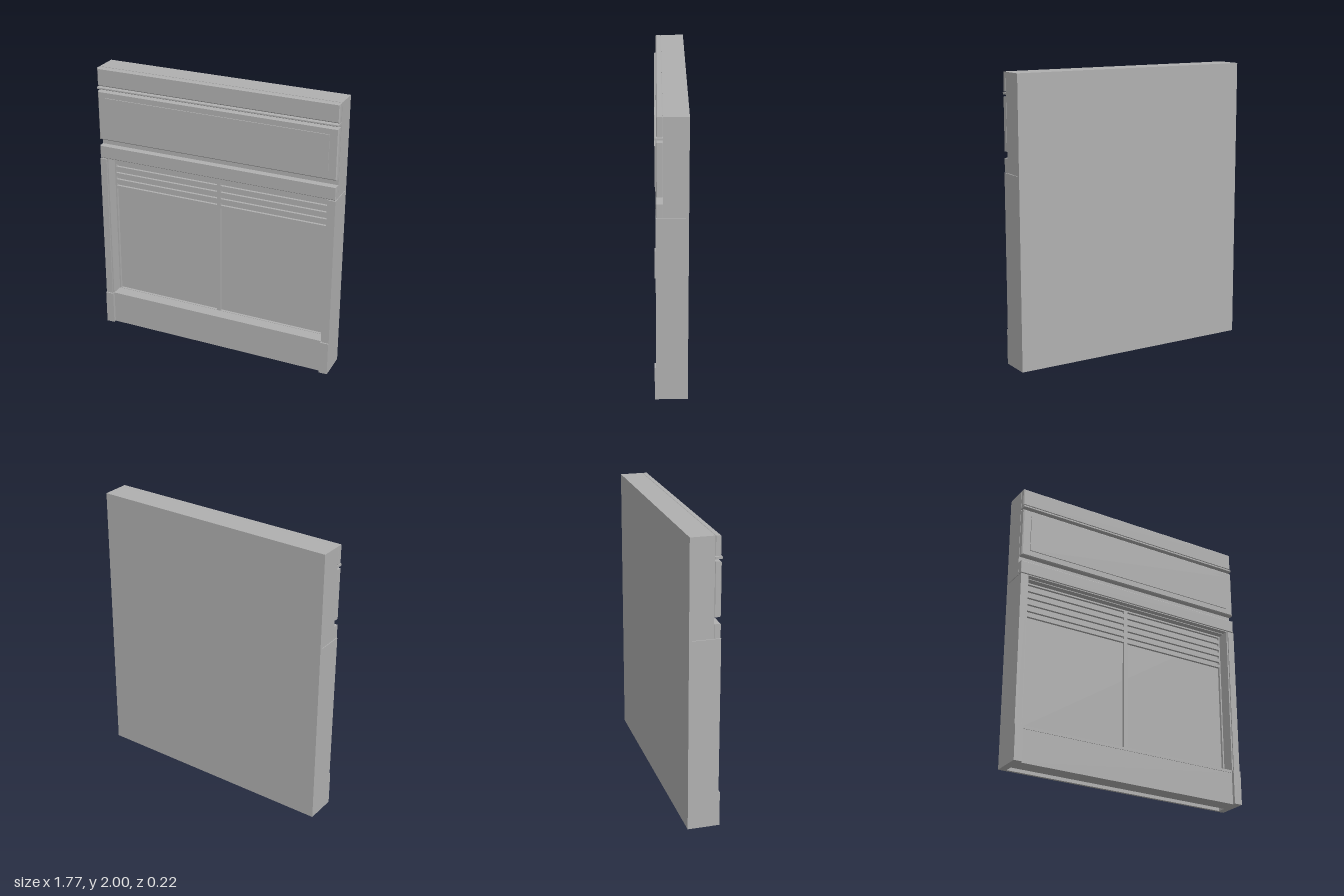
import * as THREE from 'three';

const W = 0.885; // half width of the whole facade

export function createModel() {
  const group = new THREE.Group();
  group.name = 'shopFront';
  const paint = new THREE.MeshStandardMaterial({ color: 0xb0b0b0 });
  paint.name = 'plain grey';

  const add = (name, geometry) => {
    const mesh = new THREE.Mesh(geometry, paint);
    mesh.name = name;
    group.add(mesh);
    return mesh;
  };
  // Box given by its limits on each axis
  const box = (name, x0, x1, y0, y1, z0, z1) => {
    const g = new THREE.BoxGeometry(x1 - x0, y1 - y0, z1 - z0);
    g.translate((x0 + x1) / 2, (y0 + y1) / 2, (z0 + z1) / 2);
    return add(name, g);
  };
  const rect = (Type, x0, x1, y0, y1) => new Type([
    new THREE.Vector2(x0, y0), new THREE.Vector2(x1, y0),
    new THREE.Vector2(x1, y1), new THREE.Vector2(x0, y1)]);
  // Board with chamfered edges on front and back
  const board = (name, x, y0, y1, z0, z1, b = 0.007) => {
    const g = new THREE.ExtrudeGeometry(rect(THREE.Shape, -x + b, x - b, y0 + b, y1 - b), {
      depth: z1 - z0 - 2 * b, bevelThickness: b, bevelSize: b, bevelSegments: 1,
    });
    g.translate(0, 0, z0 + b);
    return add(name, g);
  };

  // Hollow carcass
  box('backWall', -W, W, 0, 1.34, -0.11, -0.09);
  box('upperBlock', -W, W, 1.336, 2, -0.11, 0.052);
  box('grooveFiller', -W + 0.008, W - 0.008, 1.325, 1.337, -0.092, 0.05);

  // Fascia boards, moulding and raised sign panel
  board('corniceBoard', W, 1.87, 2, 0.05, 0.093);
  board('thinMoulding', W, 1.85, 1.865, 0.05, 0.103, 0.003);
  board('fasciaBoard', W, 1.475, 1.835, 0.05, 0.097);
  box('signPanel', -0.825, 0.825, 1.52, 1.79, 0.09, 0.104);
  board('lintelBoard', W, 1.336, 1.43, 0.05, 0.097, 0.004);
  box('lintelSoffit', -W + 0.008, W - 0.008, 1.33, 1.342, 0.03, 0.09);

  // Side pilasters with plinth blocks
  for (const s of [-1, 1]) {
    const side = (name, a, b, ...rest) =>
      box(name, Math.min(s * a, s * b), Math.max(s * a, s * b), ...rest);
    side('pilaster', 0.835, W, 0, 1.33, -0.09, 0.1);
    side('pilasterInnerStep', 0.825, 0.835, 0.245, 1.33, -0.03, 0.092);
    side('plinthBlock', 0.825, W, 0, 0.245, 0.08, 0.11);
  }

  // Stall riser under the window and its sill
  box('stallRiser', -0.835, 0.835, 0, 0.228, -0.03, 0.088);
  box('sill', -0.835, 0.835, 0.228, 0.247, -0.03, 0.092);

  // Window backing, then frame pierced by two panes and five vents a side
  box('windowPanes', -0.835, 0.835, 0.247, 1.336, -0.03, -0.015);
  const frame = rect(THREE.Shape, -0.835, 0.835, 0.235, 1.336);
  for (const [x0, x1] of [[-0.815, -0.013], [0.013, 0.815]]) {
    frame.holes.push(rect(THREE.Path, x0, x1, 0.249, 1.07));
    for (let i = 0; i < 5; i++) {
      const y = 1.093 + i * 0.05;
      frame.holes.push(rect(THREE.Path, x0, x1, y, y + 0.021));
    }
  }
  const frameGeometry = new THREE.ExtrudeGeometry(frame, { depth: 0.02, bevelEnabled: false });
  frameGeometry.translate(0, 0, -0.016);
  add('windowFrame', frameGeometry);

  return group;
}
